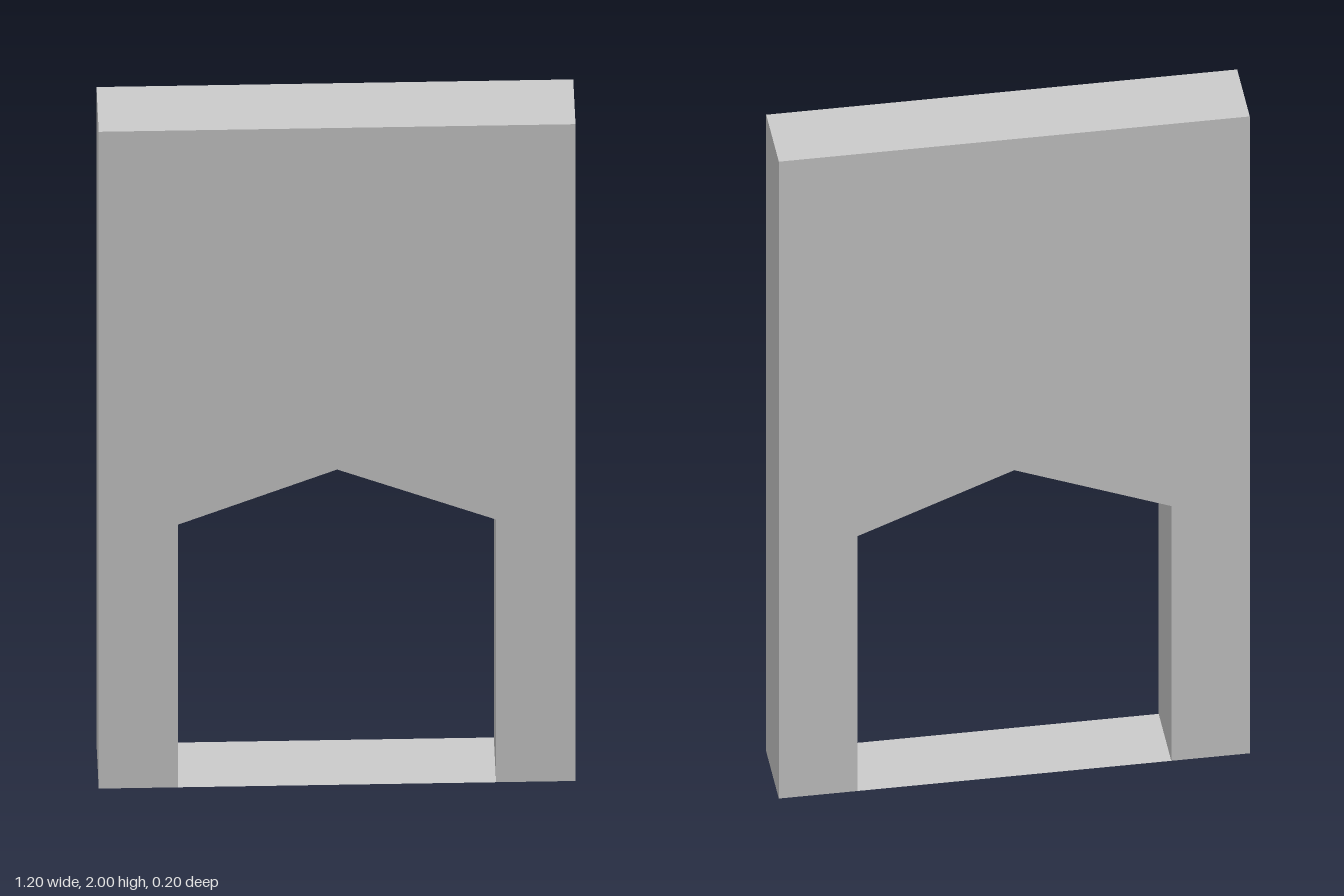
import * as THREE from 'three';

export function createModel() {
  const group = new THREE.Group();
  const depth = 0.2;

  // Wall slab with a gable-topped doorway cut up from its foot
  const outline = new THREE.Shape([
    [-0.6, 0], [-0.4, 0], [-0.4, 0.8], [0, 0.96], [0.4, 0.8],
    [0.4, 0], [0.6, 0], [0.6, 2], [-0.6, 2],
  ].map(([x, y]) => new THREE.Vector2(x, y)));
  const wallGeometry = new THREE.ExtrudeGeometry(outline, { depth, bevelEnabled: false });
  wallGeometry.translate(0, 0, -depth / 2);
  const wall = new THREE.Mesh(
    wallGeometry,
    new THREE.MeshStandardMaterial({ color: 0xcccccc, flatShading: true }),
  );
  wall.name = 'doorwayWall';
  group.add(wall);

  // Paper-thin threshold closing the foot of the doorway
  const threshold = new THREE.Mesh(
    new THREE.PlaneGeometry(0.8, depth).rotateX(-Math.PI / 2),
    new THREE.MeshStandardMaterial({ color: 0xcccccc, flatShading: true, side: THREE.DoubleSide }),
  );
  threshold.name = 'threshold';
  group.add(threshold);

  return group;
}
